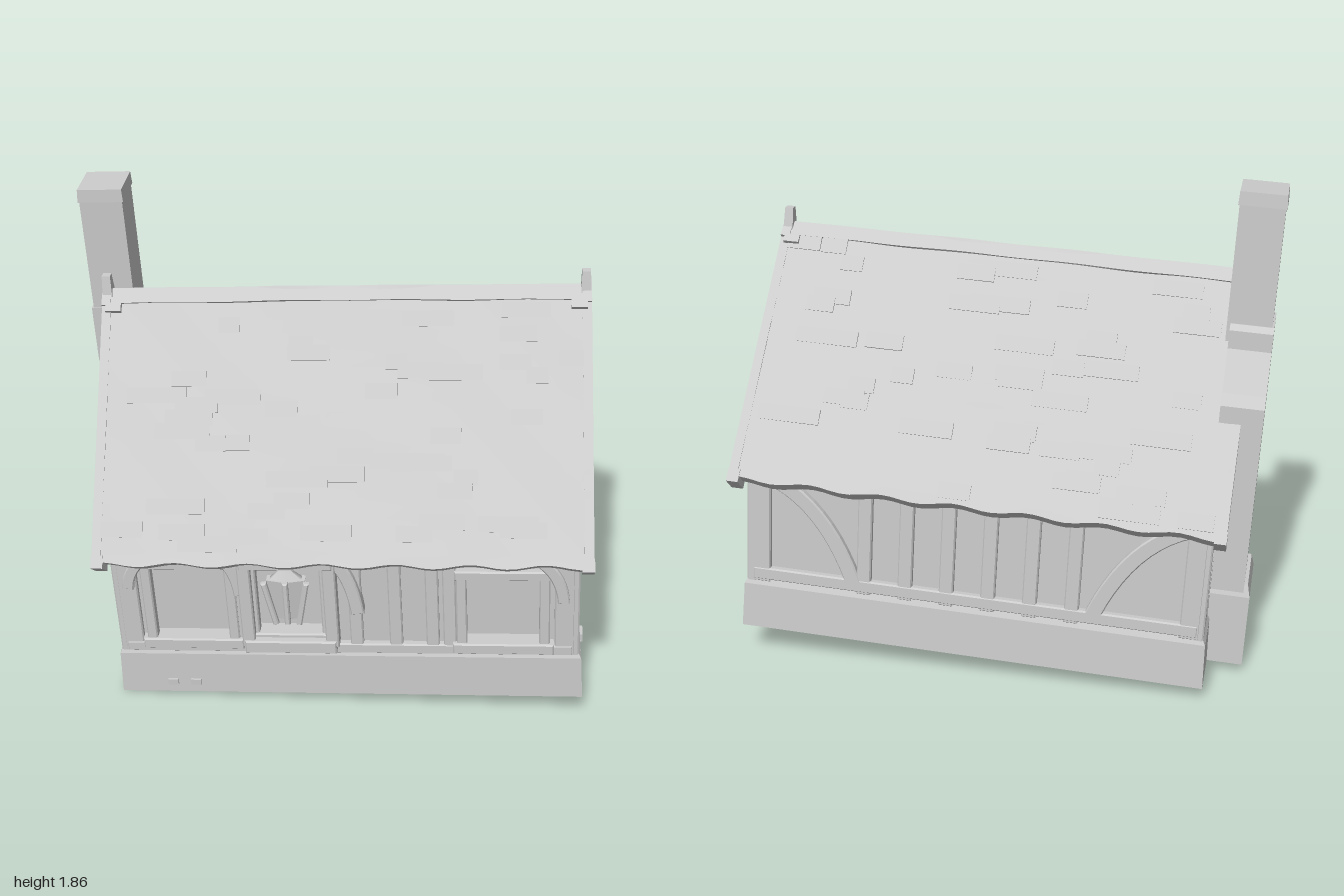
import * as THREE from 'three';

const grey = new THREE.MeshStandardMaterial({ color: 0xcccccc });
const V2 = (p) => new THREE.Vector2(p[0], p[1]);

let seed = 7;
const rand = () => (seed = (seed * 16807) % 2147483647) / 2147483647;

function add(parent, name, geo, x = 0, y = 0, z = 0) {
  const m = new THREE.Mesh(geo, grey);
  m.name = name;
  m.position.set(x, y, z);
  parent.add(m);
  return m;
}

// Box standing on y = 0 whose top is scaled to form a taper
function taperBox(w, h, d, sx = 1, sz = 1) {
  const g = new THREE.BoxGeometry(w, h, d).translate(0, h / 2, 0);
  const p = g.attributes.position;
  for (let i = 0; i < p.count; i++)
    if (p.getY(i) > h / 2) { p.setX(i, p.getX(i) * sx); p.setZ(i, p.getZ(i) * sz); }
  g.computeVertexNormals();
  return g;
}

// Timber following 2 points (straight) or 3 points (curved), lying on a wall plane
function timber(parent, name, pts, w = 0.05, d = 0.035, z = -0.01) {
  const v = pts.map(V2);
  const line = v.length === 3 ? new THREE.QuadraticBezierCurve(...v) : new THREE.LineCurve(...v);
  const n = v.length === 3 ? 10 : 1, a = [], b = [];
  for (let i = 0; i <= n; i++) {
    const p = line.getPoint(i / n), t = line.getTangent(i / n);
    a.push(new THREE.Vector2(p.x - t.y * w / 2, p.y + t.x * w / 2));
    b.unshift(new THREE.Vector2(p.x + t.y * w / 2, p.y - t.x * w / 2));
  }
  const geo = new THREE.ExtrudeGeometry(new THREE.Shape([...a, ...b]), {
    depth: d - 0.006, bevelEnabled: true, bevelSize: 0.005, bevelThickness: 0.006, bevelSegments: 1 });
  return add(parent, name, geo, 0, 0, z);
}

// Plaster sheet with window openings [x0, y0, x1, y1]; front face at z = 0
function sheet(parent, outline, holes = []) {
  const s = new THREE.Shape(outline.map(V2));
  for (const [x0, y0, x1, y1] of holes)
    s.holes.push(new THREE.Path([[x0, y0], [x0, y1], [x1, y1], [x1, y0]].map(V2)));
  add(parent, 'plasterWall', new THREE.ExtrudeGeometry(s, { depth: 0.08, bevelEnabled: false }), 0, 0, -0.08);
  for (const [x0, y0, x1, y1] of holes) {
    const f = new THREE.Group();
    f.name = 'windowFrame';
    parent.add(f);
    timber(f, 'frameSide', [[x0, y0], [x0, y1]], 0.03, 0.04);
    timber(f, 'frameSide', [[x1, y0], [x1, y1]], 0.03, 0.04);
    timber(f, 'frameHead', [[x0 - 0.02, y1], [x1 + 0.02, y1]], 0.03, 0.04);
    timber(f, 'frameSill', [[x0 - 0.03, y0], [x1 + 0.03, y0]], 0.035, 0.05);
  }
}

function wallGroup(parent, name, x, z, turn) {
  const g = new THREE.Group();
  g.name = name;
  g.position.set(x, 0, z);
  g.rotation.y = turn;
  parent.add(g);
  return g;
}

const RIDGE = 1.46, EAVE = 0.66, RUN = 0.695;
const PITCH = Math.atan2(RIDGE - EAVE, RUN), SLOPE = Math.hypot(RIDGE - EAVE, RUN);
const HX = 0.855, HZ = 0.585;
const gable = [[-HZ, 0.1], [HZ, 0.1], [HZ, 0.71], [0, 1.395], [-HZ, 0.71]];
const longWall = [[-HX, 0.1], [HX, 0.1], [HX, 0.71], [-HX, 0.71]];

function buildGable(house, name, side) {
  const g = wallGroup(house, name, side * HX, 0, side * Math.PI / 2);
  const right = side > 0;
  sheet(g, gable, right ? [[0.3, 0.25, 0.49, 0.58]] : []);
  for (const x of [-0.57, 0.57]) timber(g, 'cornerPost', [[x, 0.2], [x, 0.72]], 0.06);
  for (const x of [-0.14, 0.01, 0.2]) timber(g, 'stud', [[x, 0.22], [x, 0.66]], 0.045, 0.028);
  timber(g, 'tieBeam', [[-0.58, 0.68], [0.58, 0.68]], 0.055, 0.04);
  timber(g, 'sillBeam', [[-0.59, 0.24], [0.59, 0.24]], 0.04);
  timber(g, 'curvedBrace', [[-0.45, 0.25], [-0.38, 0.55], [-0.12, 0.65]], 0.05);
  if (!right) timber(g, 'curvedBrace', [[0.45, 0.25], [0.38, 0.55], [0.12, 0.65]], 0.05);
  timber(g, 'kingPost', [[0, 0.68], [0, 1.36]], 0.06);
  for (const s of [-1, 1]) {
    timber(g, 'strut', [[s * 0.03, 0.74], [s * 0.1, 0.9], [s * 0.25, 1.04]], 0.05);
    timber(g, 'lowerStrut', [[s * 0.34, 0.7], [s * 0.34, 0.96]], 0.04, 0.03);
    timber(g, 'principalRafter', [[s * 0.6, 0.66], [0, 1.355]], 0.06);
  }
}

function buildRoof(house) {
  const roof = new THREE.Group();
  roof.name = 'roof';
  house.add(roof);
  for (const s of [1, -1]) {
    const pivot = new THREE.Group(), slope = new THREE.Group();
    pivot.name = 'roofSide';
    pivot.rotation.y = s > 0 ? 0 : Math.PI;
    pivot.position.y = RIDGE;
    slope.rotation.x = PITCH;
    pivot.add(slope);
    roof.add(pivot);
    // Gently uneven slab
    const geo = new THREE.BoxGeometry(1.83, 0.06, SLOPE, 48, 1, 24).translate(0, -0.03, SLOPE / 2);
    const p = geo.attributes.position;
    for (let i = 0; i < p.count; i++) {
      const x = p.getX(i), z = p.getZ(i);
      p.setY(i, p.getY(i) + 0.004 * Math.sin(x * 9 + z * 31) * Math.sin(z * 43 + Math.sin(x * 5)));
      if (z > SLOPE - 0.01) p.setZ(i, z + 0.008 * Math.sin(x * 23));
    }
    geo.computeVertexNormals();
    add(slope, 'roofSlab', geo);
    // Scattered raised shingles
    for (let i = 0; i < 45; i++) {
      const w = 0.08 + rand() * 0.16;
      const t = add(slope, 'shingle', new THREE.BoxGeometry(w, 0.008, 0.06),
        (rand() - 0.5) * (1.8 - w), 0.002, 0.08 + rand() * (SLOPE - 0.13));
      t.rotation.x = 0.08;
    }
    // Bargeboards in two layers at both ends
    for (const e of [-1, 1]) {
      add(slope, 'bargeboard', new THREE.BoxGeometry(0.035, 0.075, SLOPE + 0.01), e * 0.908, -0.035, SLOPE / 2);
      add(slope, 'bargeTrim', new THREE.BoxGeometry(0.06, 0.035, SLOPE - 0.03), e * 0.88, -0.08, SLOPE / 2 - 0.02);
      add(slope, 'bargeFoot', new THREE.BoxGeometry(0.045, 0.085, 0.05), e * 0.905, -0.04, SLOPE - 0.01);
    }
    // Rafter tails beneath the eave
    for (let i = 0; i < 8; i++)
      add(slope, 'rafterTail', new THREE.BoxGeometry(0.035, 0.03, 0.14), -0.77 + i * 0.22, -0.07, SLOPE - 0.1);
  }
  for (const e of [-1, 1]) {
    add(roof, 'ridgeFinial', taperBox(0.04, 0.13, 0.075, 0.8, 0.4), e * 0.905, 1.385, 0);
    add(roof, 'ridgePendant', taperBox(0.045, 0.09, 0.05), e * 0.89, 1.3, 0);
  }
}

function buildChimney(house) {
  const c = new THREE.Group();
  c.name = 'chimney';
  house.add(c);
  add(c, 'chimneyBase', taperBox(0.19, 0.29, 0.29), -0.935, 0, -0.25);
  add(c, 'chimneyBaseCap', taperBox(0.19, 0.05, 0.29, 0.88, 0.9), -0.935, 0.29, -0.25);
  // Wide lower stack narrowing at the shoulder
  const s = new THREE.Shape([[0.11, 0.3], [0.39, 0.3], [0.41, 1.06], [0.38, 1.1], [0.29, 1.24],
    [0.29, 1.31], [0.27, 1.33], [0.09, 1.33], [0.09, 1.1]].map(V2));
  const lower = add(c, 'lowerStack', new THREE.ExtrudeGeometry(s, { depth: 0.16, bevelEnabled: false }), -1.005);
  lower.rotation.y = Math.PI / 2;
  add(c, 'upperStack', taperBox(0.165, 0.52, 0.175), -0.915, 1.26, -0.18);
  add(c, 'stackRim', taperBox(0.175, 0.05, 0.185, 0.97, 0.97), -0.915, 1.775, -0.18);
}

// Hanging lantern with slanted bars for the middle window
function buildLantern(parent) {
  const l = new THREE.Group();
  l.name = 'lantern';
  l.position.set(-0.22, 0.33, -0.01);
  parent.add(l);
  const body = new THREE.CylinderGeometry(0.085, 0.05, 0.18, 6, 1).toNonIndexed();
  body.computeVertexNormals();
  add(l, 'lanternBody', body, 0, 0.1, 0).scale.z = 0.4;
  add(l, 'lanternLid', new THREE.ConeGeometry(0.07, 0.06, 6), 0, 0.22, 0).scale.z = 0.4;
  add(l, 'lanternRing', new THREE.TorusGeometry(0.02, 0.006, 6, 14), 0, 0.26, 0);
  for (const s of [-1, 0, 1])
    timber(l, 'lanternBar', [[s * 0.045, 0.01], [s * 0.08, 0.19]], 0.012, 0.02, 0.03);
}

export function createModel() {
  const model = new THREE.Group();
  model.name = 'cottage';
  const house = new THREE.Group();
  house.name = 'leaningHouse';
  house.position.set(0.09, 0.077, -0.035);
  house.rotation.set(0.04, 0, 0.05);
  model.add(house);

  // Stone footing and inner body
  add(house, 'plinth', taperBox(1.79, 0.18, 1.23, 0.993, 0.99));
  add(house, 'plinthSlope', taperBox(1.777, 0.045, 1.218, 0.975, 0.97), 0, 0.18, 0);
  add(house, 'innerBody', taperBox(1.58, 0.6, 1.05), 0, 0.1, 0);
  for (const [x, y, z] of [[0.89, 0.07, 0.31], [0.89, 0.07, -0.14], [0.89, 0.08, -0.46]])
    add(house, 'footingStone', new THREE.BoxGeometry(0.03, 0.035, 0.06), x, y, z);
  for (const x of [-0.69, -0.6])
    add(house, 'footingStone', new THREE.BoxGeometry(0.04, 0.025, 0.03), x, 0.05, 0.607);

  // Front wall with three windows
  const front = wallGroup(house, 'frontWall', 0, HZ, 0);
  sheet(front, longWall, [[-0.75, 0.24, -0.43, 0.6], [-0.35, 0.27, -0.07, 0.61], [0.44, 0.23, 0.75, 0.56]]);
  for (const x of [-0.825, -0.39, 0.04, 0.19, 0.33, 0.395, 0.825])
    timber(front, 'post', [[x, 0.2], [x, 0.7]], Math.abs(x) > 0.8 ? 0.065 : 0.04, 0.032);
  timber(front, 'wallPlate', [[-0.85, 0.66], [0.85, 0.66]], 0.06, 0.04);
  timber(front, 'sillBeam', [[-0.85, 0.215], [0.85, 0.215]], 0.035);
  for (const y of [0.25, 0.635]) // projecting frame around the middle window
    timber(front, 'bayRail', [[-0.38, y], [-0.04, y]], 0.045, 0.08);
  for (const x of [-0.37, -0.05]) timber(front, 'baySide', [[x, 0.25], [x, 0.64]], 0.04, 0.07);
  timber(front, 'eaveBracket', [[-0.48, 0.66], [-0.4, 0.62], [-0.39, 0.48]], 0.04, 0.06);
  timber(front, 'eaveBracket', [[-0.04, 0.64], [0.03, 0.58], [0.05, 0.4]], 0.04, 0.06);
  timber(front, 'cornerBrace', [[-0.82, 0.5], [-0.81, 0.6], [-0.72, 0.65]], 0.035, 0.05);
  timber(front, 'cornerBrace', [[0.82, 0.45], [0.81, 0.58], [0.72, 0.64]], 0.035, 0.05);
  buildLantern(front);

  // Back wall with studs and end braces
  const back = wallGroup(house, 'backWall', 0, -HZ, Math.PI);
  sheet(back, longWall);
  for (const x of [-0.825, -0.42, -0.26, -0.1, 0.06, 0.22, 0.38, 0.825])
    timber(back, 'post', [[x, 0.2], [x, 0.7]], Math.abs(x) > 0.8 ? 0.065 : 0.045, 0.032);
  timber(back, 'wallPlate', [[-0.85, 0.67], [0.85, 0.67]], 0.06, 0.04);
  timber(back, 'sillBeam', [[-0.85, 0.23], [0.85, 0.23]], 0.04);
  for (const s of [-1, 1])
    timber(back, 'curvedBrace', [[s * 0.8, 0.64], [s * 0.58, 0.56], [s * 0.46, 0.24]], 0.05);

  buildGable(house, 'rightGable', 1);
  buildGable(house, 'leftGable', -1);
  buildRoof(house);
  buildChimney(house);
  return model;
}
